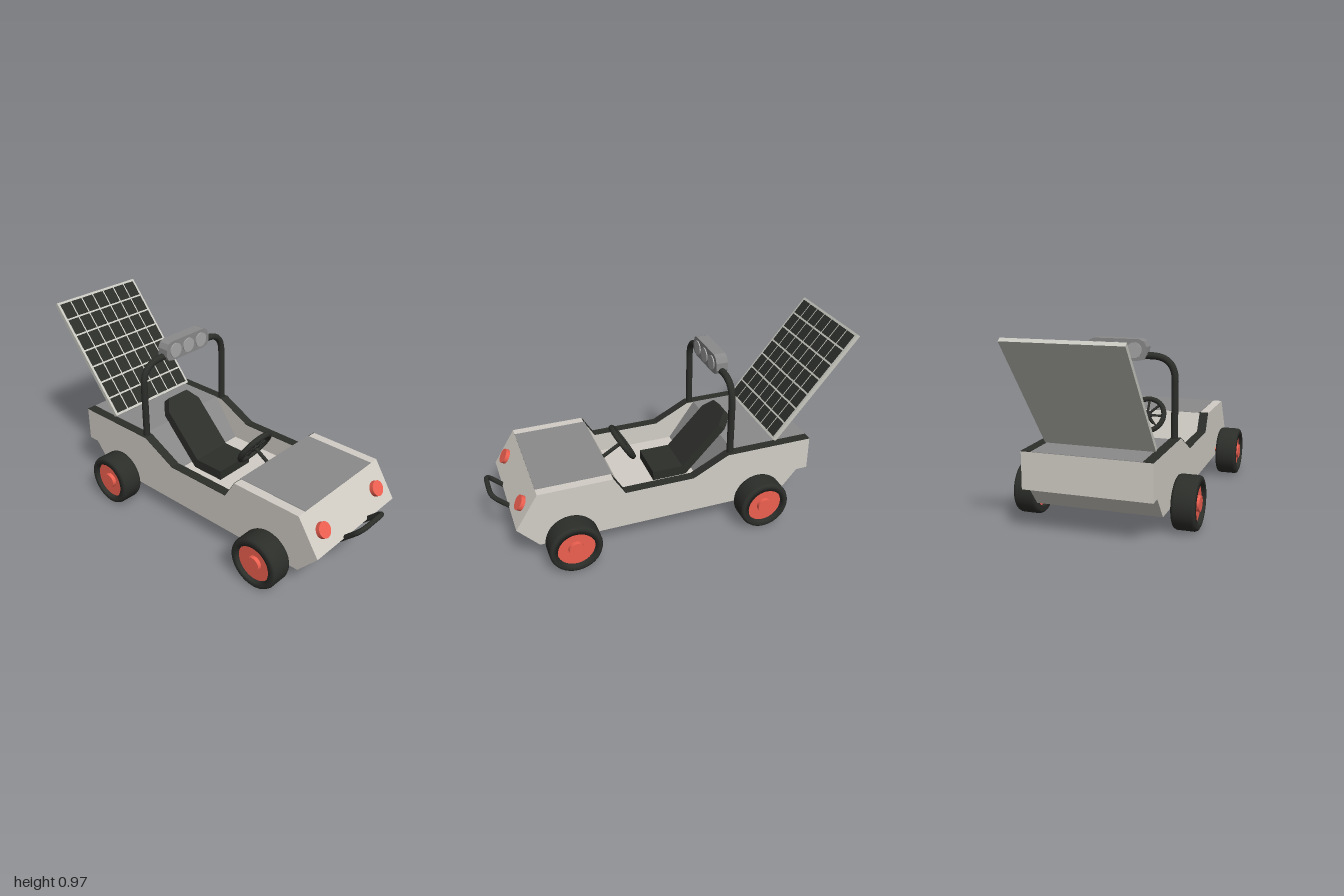
import * as THREE from 'three';

const mat = (color) => new THREE.MeshStandardMaterial({ color });
const paint = mat(0xd2cec6), black = mat(0x2c2e2a), red = mat(0xee6050), grey = mat(0x8a8a8a), lens = mat(0xa8a8a8), white = mat(0xc8c8c0);

function add(parent, name, geo, material, x = 0, y = 0, z = 0, rx = 0) {
  const m = new THREE.Mesh(geo, material);
  m.name = name;
  m.position.set(x, y, z);
  m.rotation.x = rx;
  parent.add(m);
  return m;
}

const toShape = (pts) => new THREE.Shape(pts.map(([a, b]) => new THREE.Vector2(a, b)));

// side profile of [z, y] points, extruded across x and centred
function across(pts, width) {
  const g = new THREE.ExtrudeGeometry(toShape(pts), { depth: width, bevelEnabled: false });
  return g.rotateY(-Math.PI / 2).translate(width / 2, 0, 0);
}

// strip of given thickness lying on a [z, y] polyline
const strip = (line, width, t) =>
  across([...line, ...line.slice().reverse().map(([z, y]) => [z, y + t])], width);

// polyline with rounded corners, swept by a tube
function bentTube(pts, bend, r, closed = false) {
  const v = pts.map((p) => new THREE.Vector3(...p));
  const n = v.length, path = new THREE.CurvePath();
  const toward = (a, b) => a.clone().add(b.clone().sub(a).setLength(bend));
  let last = closed ? toward(v[0], v[1]) : v[0];
  for (let i = 1; i < (closed ? n + 1 : n - 1); i++) {
    const c = v[i % n], before = toward(c, v[i - 1]), after = toward(c, v[(i + 1) % n]);
    path.add(new THREE.LineCurve3(last, before));
    path.add(new THREE.QuadraticBezierCurve3(before, c, after));
    last = after;
  }
  if (!closed) path.add(new THREE.LineCurve3(last, v[n - 1]));
  return new THREE.TubeGeometry(path, 96, r, 12, closed);
}

function makeWheel(side) {
  const w = new THREE.Group();
  w.name = 'wheel';
  const tyre = [[0.098, -0.06], [0.122, -0.06], [0.132, -0.055], [0.137, -0.043], [0.137, 0.043],
    [0.132, 0.055], [0.122, 0.06], [0.098, 0.06], [0.098, -0.06]].map((p) => new THREE.Vector2(...p));
  add(w, 'tyre', new THREE.LatheGeometry(tyre, 36), black);
  add(w, 'rim', new THREE.CylinderGeometry(0.099, 0.099, 0.08, 36), red);
  add(w, 'hubCap', new THREE.CylinderGeometry(0.04, 0.04, 0.025, 24), red, 0, 0.048, 0);
  add(w, 'axleStub', new THREE.CylinderGeometry(0.014, 0.014, 0.14, 12), red, 0, -0.08, 0);
  w.rotation.z = -side * Math.PI / 2;
  return w;
}

export function createModel() {
  const model = new THREE.Group();
  model.name = 'buggy';
  const car = new THREE.Group();
  car.name = 'car';
  car.position.set(-0.045, 0, 0.016);
  car.rotation.y = THREE.MathUtils.degToRad(20);
  model.add(car);

  // body: a centre section with the tub, between two side walls
  const top = 0.412;
  const under = [[-0.713, top], [-0.713, 0.225], [-0.65, 0.225], [-0.55, 0.105], [0.8, 0.105], [0.909, 0.225], [0.79, top]];
  const tub = [[0.395, top], [0.31, 0.2], [-0.12, 0.2], [-0.27, top]];
  const sill = [[0.4, top], [0.34, 0.312], [-0.035, 0.312], [-0.23, top]];
  add(car, 'bodyCentre', across([...under, ...tub], 0.55), paint);
  for (const s of [-1, 1]) {
    add(car, 'sideWall', across([...under, ...sill], 0.05), paint, s * 0.3);
    add(car, 'sillTrim', strip([...sill, [-0.713, top]], 0.05, 0.003), black, s * 0.3);
  }
  add(car, 'hoodPanel', strip([[0.395, top], [0.79, top]], 0.55, 0.002), grey);
  add(car, 'rearDeck', strip([[-0.12, 0.2], [-0.27, top], [-0.713, top]], 0.55, 0.002), grey);

  // wheels
  for (const s of [-1, 1]) for (const z of [0.642, -0.393]) {
    const w = makeWheel(s);
    w.position.set(s * 0.41, 0.137, z);
    car.add(w);
  }

  // headlights and front guard
  for (const s of [-1, 1])
    add(car, 'headlight', new THREE.CylinderGeometry(0.04, 0.04, 0.04, 28), red, s * 0.226, 0.312, 0.856, 1.004);
  add(car, 'frontGuard', bentTube([[-0.1, 0.112, 0.79], [0.1, 0.112, 0.79], [0.1, 0.302, 0.99], [-0.1, 0.302, 0.99]],
    0.05, 0.013, true), black);

  // roll bar and lamp bar
  add(car, 'rollBar', bentTube([[-0.296, 0.3, -0.25], [-0.296, 0.825, -0.25], [0.296, 0.825, -0.25], [0.296, 0.3, -0.25]],
    0.12, 0.018), black);
  const half = [[0.11, 0.8], [0.145, 0.808], [0.157, 0.83], [0.157, 0.87], [0.142, 0.898], [0.118, 0.908]];
  const housing = toShape([...half, ...half.slice().reverse().map(([x, y]) => [-x, y])]);
  add(car, 'lampHousing', new THREE.ExtrudeGeometry(housing, { depth: 0.064, bevelEnabled: false }), grey, 0, 0, -0.282);
  for (const i of [-1, 0, 1])
    add(car, 'lamp', new THREE.CylinderGeometry(0.039, 0.039, 0.076, 28), lens, i * 0.094, 0.853, -0.25, Math.PI / 2);

  // seat
  const back = toShape([[-0.117, 0], [0.117, 0], [0.117, 0.365], [0.07, 0.435], [-0.07, 0.435], [-0.117, 0.365]]);
  add(car, 'seatBack', new THREE.ExtrudeGeometry(back, { depth: 0.05, bevelEnabled: false }).translate(0, 0, -0.05),
    black, 0, 0.21, -0.01, -0.76);
  add(car, 'seatCushion', new THREE.BoxGeometry(0.234, 0.055, 0.18), black, 0, 0.226, 0.03);

  // steering wheel
  const steering = new THREE.Group();
  steering.name = 'steeringWheel';
  steering.position.set(0, 0.41, 0.255);
  steering.rotation.x = 0.55;
  car.add(steering);
  add(steering, 'steeringRim', new THREE.TorusGeometry(0.098, 0.015, 10, 36), black);
  for (let i = 0; i < 4; i++)
    add(steering, 'spoke', new THREE.BoxGeometry(0.19, 0.011, 0.01), black).rotation.z = i * Math.PI / 4;
  add(steering, 'steeringHub', new THREE.CylinderGeometry(0.026, 0.026, 0.025, 20), black, 0, 0, 0, Math.PI / 2);
  add(steering, 'steeringColumn', new THREE.CylinderGeometry(0.01, 0.01, 0.16, 12), black, 0, 0, 0.08, Math.PI / 2);

  // tilted solar panel with a grid of cells
  const solar = new THREE.Group();
  solar.name = 'solarPanel';
  solar.position.set(0, 0.692, -0.745);
  solar.rotation.x = -0.687;
  car.add(solar);
  add(solar, 'panelBoard', new THREE.BoxGeometry(0.565, 0.71, 0.022), white);
  for (let i = -3; i <= 3; i++) for (let j = -3; j <= 3; j++)
    add(solar, 'solarCell', new THREE.BoxGeometry(0.069, 0.089, 0.004), black, i * 0.078, j * 0.099, 0.011);

  return model;
}
